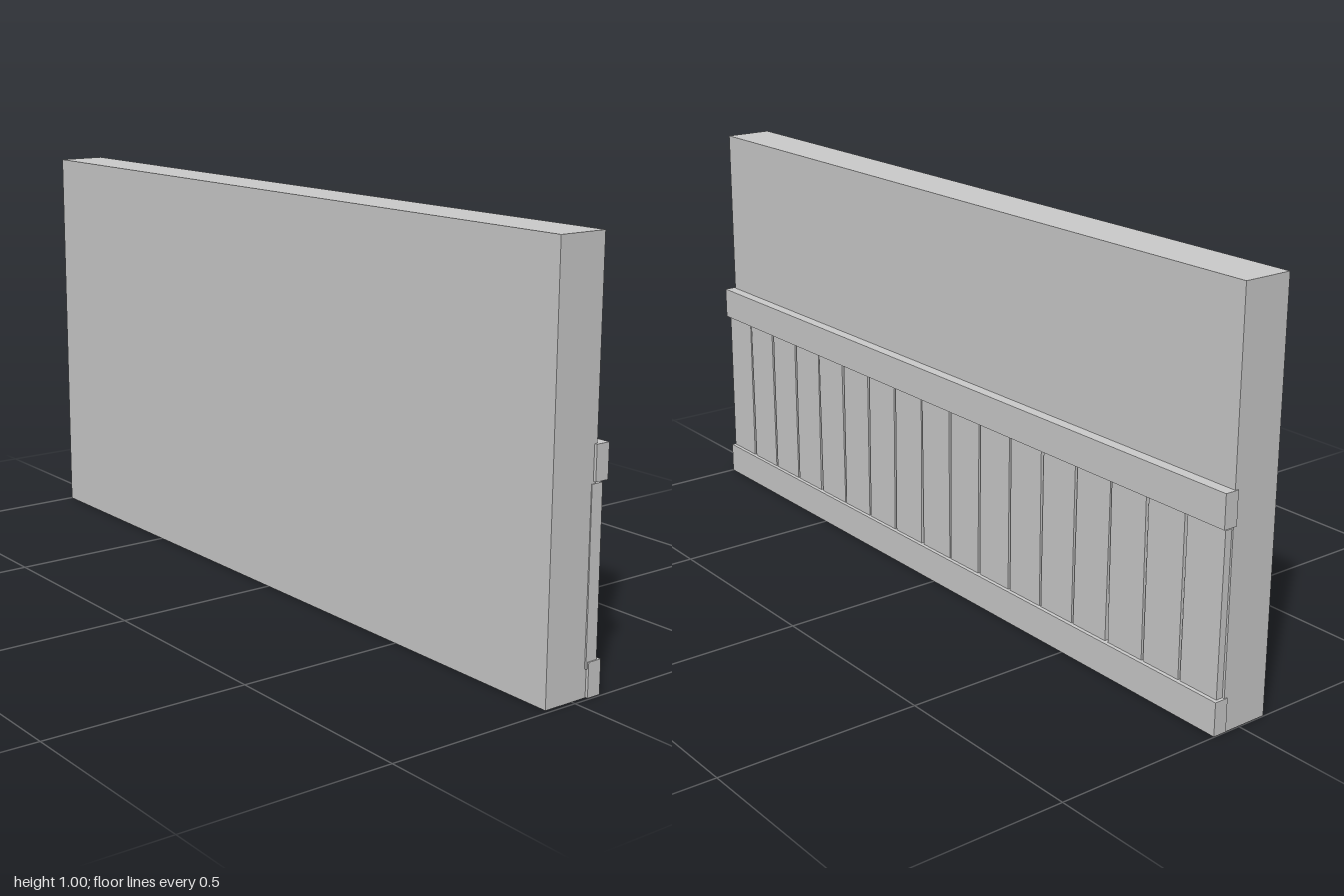
import * as THREE from 'three';

const material = new THREE.MeshStandardMaterial({ color: 0xcccccc, flatShading: true });

// Box given by its limits on each axis
function box(name, [x0, x1], [y0, y1], [z0, z1]) {
  const mesh = new THREE.Mesh(new THREE.BoxGeometry(x1 - x0, y1 - y0, z1 - z0), material);
  mesh.position.set((x0 + x1) / 2, (y0 + y1) / 2, (z0 + z1) / 2);
  mesh.name = name;
  return mesh;
}

export function createModel() {
  const group = new THREE.Group();
  group.name = 'panelledWall';

  // Plain wall slab
  group.add(box('wall', [-0.998, 0.99], [0, 1], [-0.048, 0.077]));

  // Rails above and below the boards on the back
  group.add(box('topRail', [-1, 0.997], [0.477, 0.558], [-0.076, -0.04]));
  group.add(box('bottomRail', [-1, 0.997], [0.001, 0.082], [-0.076, -0.04]));

  // Upright boards, each leaning very slightly so the gaps vary
  const boards = new THREE.Group();
  boards.name = 'boards';
  const count = 17;
  const pitch = 1.993 / count;
  const leans = [1, -1, 0, 1, -2, 0, 1, 1, -2, 1, 0, -1, 1, 2, -1, 0, 1];
  for (let i = 0; i < count; i++) {
    const x = 0.9965 - pitch * (i + 0.5);
    const half = (pitch - 0.007) / 2;
    const board = box('board', [x - half, x + half], [0.066, 0.472], [-0.066, -0.035]);
    board.rotation.z = leans[i] * 0.005;
    boards.add(board);
  }
  group.add(boards);
  return group;
}
